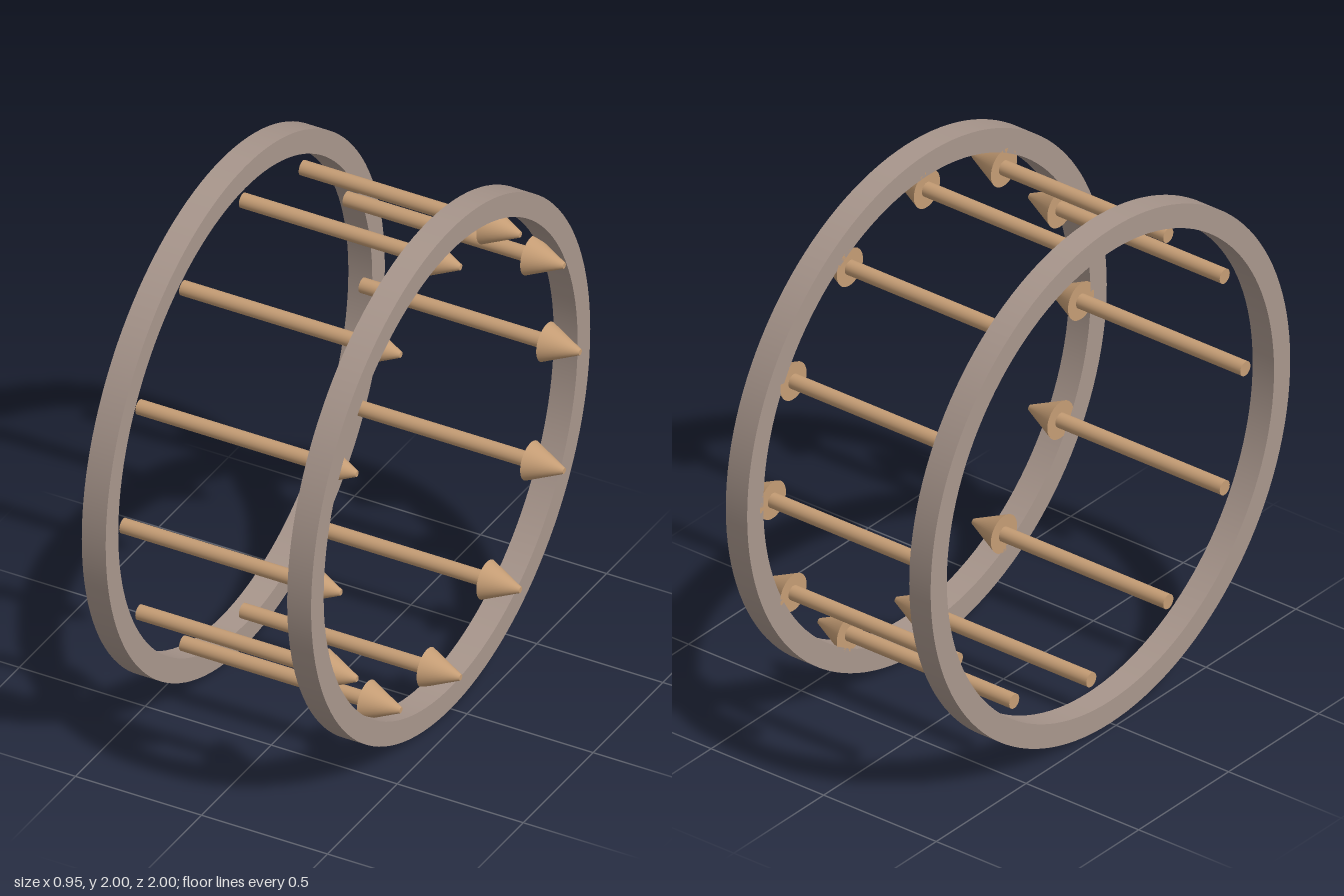
import * as THREE from 'three';

const ringMaterial = new THREE.MeshStandardMaterial({ name: 'warm grey', color: 0xa8968c });
const arrowMaterial = new THREE.MeshStandardMaterial({ name: 'tan', color: 0xc49c74 });

// Turns a profile of [radius, x] points around the x axis; each segment keeps sharp ends
function turned(profile, sides, material, name) {
  const group = new THREE.Group();
  group.name = name;
  for (let i = 0; i < profile.length - 1; i++) {
    const points = [profile[i], profile[i + 1]].map(([r, x]) => new THREE.Vector2(r, x));
    const geometry = new THREE.LatheGeometry(points, sides);
    geometry.rotateZ(-Math.PI / 2);
    const mesh = new THREE.Mesh(geometry, material);
    mesh.name = name + 'Surface';
    group.add(mesh);
  }
  return group;
}

// Flat-sided hoop between two x positions
function makeRing(x0, x1, name) {
  const outer = 1, inner = 0.91;
  return turned([[inner, x0], [outer, x0], [outer, x1], [inner, x1], [inner, x0]], 128, ringMaterial, name);
}

// Shaft with a blunt conical head pointing to +x
function makeArrow() {
  const arrow = new THREE.Group();
  arrow.name = 'arrow';
  arrow.add(turned([[0, -0.39], [0.028, -0.39], [0.028, 0.345]], 32, arrowMaterial, 'shaft'));
  arrow.add(turned([[0, 0.34], [0.073, 0.34], [0.011, 0.475], [0, 0.475]], 48, arrowMaterial, 'arrowHead'));
  return arrow;
}

export function createModel() {
  const model = new THREE.Group();
  model.name = 'arrowRing';
  model.add(makeRing(-0.475, -0.38, 'rightRing'));
  model.add(makeRing(0.34, 0.435, 'leftRing'));

  // Twelve arrows evenly spaced just inside the rings
  for (let i = 0; i < 12; i++) {
    const angle = (i / 12) * Math.PI * 2;
    const arrow = makeArrow();
    arrow.position.set(0, Math.cos(angle) * 0.857, Math.sin(angle) * 0.857);
    model.add(arrow);
  }

  model.position.y = 1;
  const root = new THREE.Group();
  root.add(model);
  return root;
}
